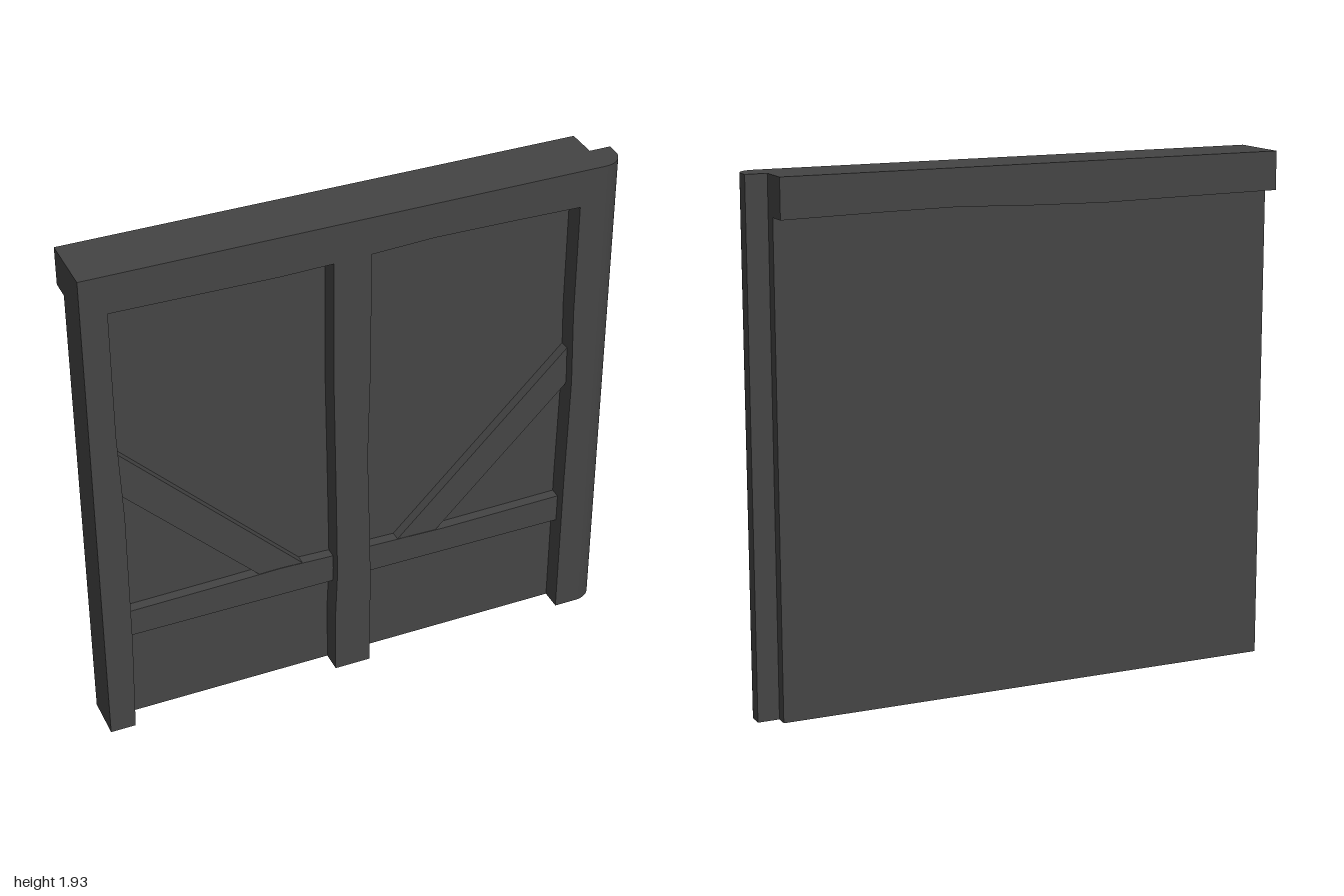
import * as THREE from 'three';
import { toCreasedNormals } from 'three/addons/utils/BufferGeometryUtils.js';

const H = 1.93;          // overall height
const BACK = -0.045;     // back of the wall panel
const PANEL = 0.04;      // front of the wall panel
const RAIL = 0.08;       // front of rails and braces
const FRONT = 0.12;      // front of the main timbers

const material = new THREE.MeshStandardMaterial({ color: 0x444444 });

const toShape = (points) => new THREE.Shape(points.map(([x, y]) => new THREE.Vector2(x, y)));

// Flat timber: an outline in x/y, extruded between two depths
function timber(name, points, z0, z1) {
  const geometry = new THREE.ExtrudeGeometry(toShape(points), { depth: z1 - z0, bevelEnabled: false });
  geometry.translate(0, 0, z0);
  const mesh = new THREE.Mesh(geometry, material);
  mesh.name = name;
  return mesh;
}

export function createModel() {
  const group = new THREE.Group();
  group.name = 'timberWall';

  // Plain wall behind the timbers
  group.add(timber('wallPanel', [[-1, 0], [0.92, 0], [0.92, H], [-1, H]], BACK, PANEL));

  // Left post, middle post, right post and top beam, with hand-cut wavy inner edges
  group.add(timber('frontFrame', [
    [-1, 0], [-0.905, 0], [-0.895, 0.4], [-0.893, 0.95], [-0.905, 1.3], [-0.905, 1.787],
    [-0.6, 1.783], [-0.3, 1.779], [-0.105, 1.783],
    [-0.107, 1.3], [-0.1, 0.8], [-0.096, 0.45], [-0.105, 0.25], [-0.105, 0],
    [0.035, 0], [0.037, 0.4], [0.03, 0.7], [0.023, 0.95], [0.033, 1.35], [0.033, 1.787],
    [0.27, 1.797], [0.55, 1.793], [0.828, 1.787],
    [0.828, 1.35], [0.838, 1.05], [0.832, 0.6], [0.83, 0],
    [0.92, 0], [0.92, H], [-1, H],
  ], PANEL, FRONT));

  // Rounded corner of the right post, extruded upwards
  const corner = new THREE.Shape();
  corner.moveTo(0.92, 0);
  corner.lineTo(0.92, -FRONT);
  corner.absarc(0.92, -PANEL, 0.08, -Math.PI / 2, 0, false);
  corner.lineTo(1, 0);
  let cornerGeometry = new THREE.ExtrudeGeometry(corner, { depth: H, bevelEnabled: false, curveSegments: 10 });
  cornerGeometry.rotateX(-Math.PI / 2);
  cornerGeometry = toCreasedNormals(cornerGeometry, Math.PI / 6);
  const post = new THREE.Mesh(cornerGeometry, material);
  post.name = 'roundedPost';
  group.add(post);

  // Beam along the top of the back, slightly wavy underneath
  group.add(timber('backBeam', [
    [-1, H], [-1, 1.787], [-0.6, 1.783], [-0.3, 1.779], [0, 1.785],
    [0.27, 1.795], [0.55, 1.792], [0.92, 1.785], [0.92, H],
  ], -0.12, BACK));

  // Low rails between the posts
  group.add(timber('leftBayRail', [
    [-0.91, 0.393], [-0.09, 0.393], [-0.09, 0.508], [-0.3, 0.515], [-0.5, 0.51], [-0.91, 0.503],
  ], PANEL, RAIL));
  group.add(timber('rightBayRail', [
    [0.02, 0.393], [0.845, 0.393], [0.845, 0.507], [0.35, 0.5], [0.02, 0.508],
  ], PANEL, RAIL));

  // Diagonal braces rising from the rails to the outer posts
  group.add(timber('leftBayBrace', [
    [-0.908, 1.035], [-0.385, 0.51], [-0.215, 0.51], [-0.908, 1.208],
  ], PANEL, RAIL - 0.002));
  group.add(timber('rightBayBrace', [
    [0.16, 0.5], [0.32, 0.5], [0.842, 1.025], [0.842, 1.185],
  ], PANEL, RAIL - 0.002));

  return group;
}
